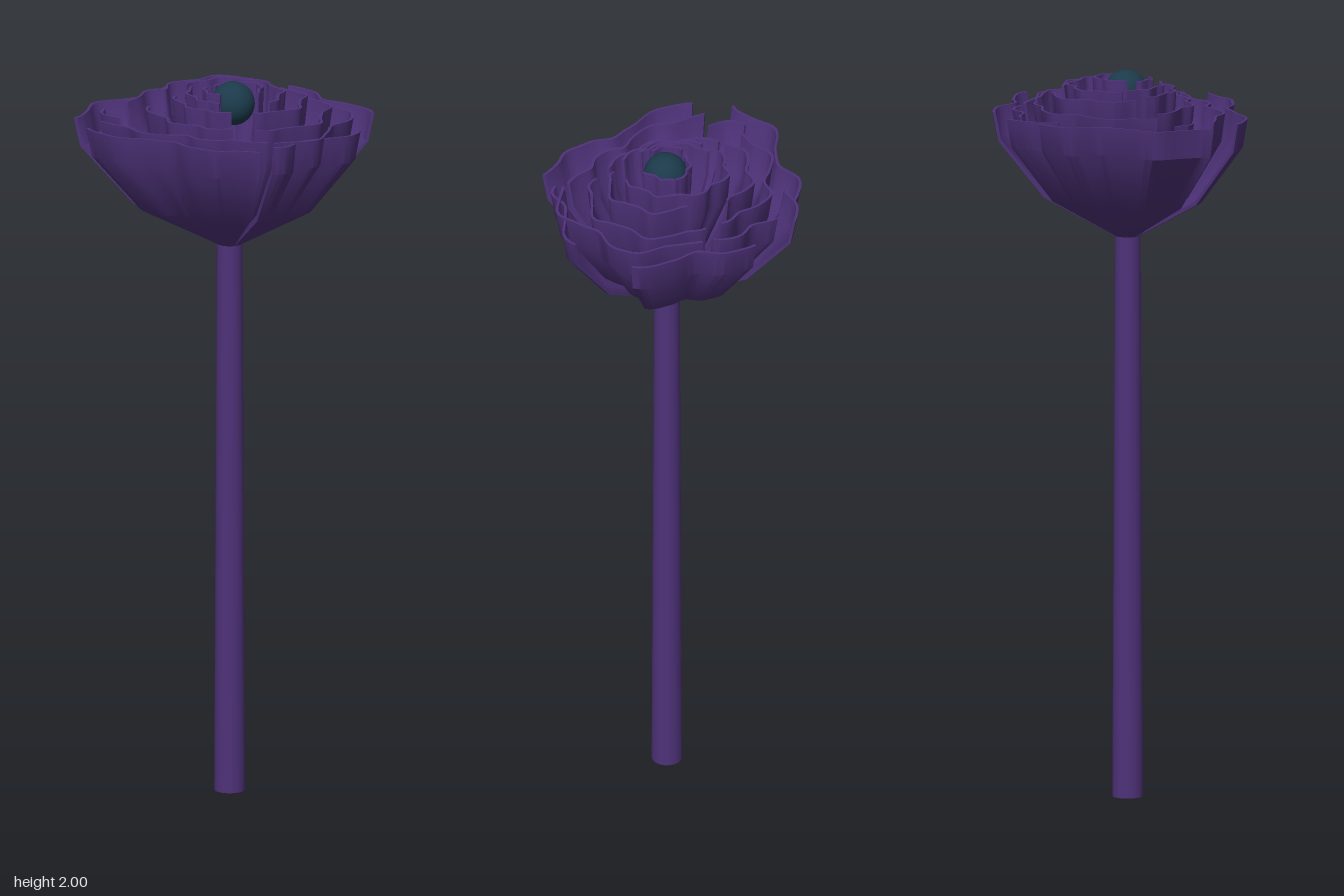
import * as THREE from 'three';
import { toCreasedNormals } from 'three/addons/utils/BufferGeometryUtils.js';

const CX = -0.018, CZ = 0.015, BASE = 1.545;
const purple = new THREE.MeshStandardMaterial({ color: 0x4e3279, side: THREE.DoubleSide });
const teal = new THREE.MeshStandardMaterial({ color: 0x1b3a4a });

// Thick petal lofted from the flower base to a ruffled rim.
// Angles in degrees, clockwise from above; rim radius at the start, middle and end;
// then the angle of one dip, the angle between dips and the depth of the ruffle.
function petalGeometry(top, [start, end, r0, r1, r2, dip = 17, period = 40, depth = 0.06]) {
  const steps = Math.ceil((end - start) / 3);
  const pos = [], index = [];
  for (let i = 0; i <= steps; i++) {
    const t = i / steps, deg = start + (end - start) * t;
    const a = THREE.MathUtils.degToRad(deg);
    const smooth = r0 * (1 - t) * (1 - 2 * t) + r1 * 4 * t * (1 - t) + r2 * t * (2 * t - 1);
    const ruffle = -depth * Math.cos(2 * Math.PI * (deg - dip) / period) + 0.012 * Math.sin(20 * a);
    const r = smooth * (1 + ruffle * Math.sqrt(Math.max(0, Math.sin(Math.PI * t))));
    // closed cross-section: outer side upwards, then inner side downwards
    const section = [
      [0.035, BASE], [r * 0.62, top - 0.24], [r * 0.96, top - 0.08], [r, top],
      [r - 0.008, top], [r * 0.96 - 0.008, top - 0.077], [r * 0.62 - 0.006, top - 0.232], [0.025, BASE + 0.008],
    ];
    for (const [d, y] of section) pos.push(CX + Math.cos(a) * d, y, CZ + Math.sin(a) * d);
  }
  const quad = (a, b, c, d) => index.push(a, b, c, a, c, d);
  for (let i = 0; i < steps; i++) {
    for (let j = 0; j < 8; j++) {
      const k = (j + 1) % 8;
      quad(i * 8 + j, i * 8 + k, i * 8 + 8 + k, i * 8 + 8 + j);
    }
  }
  // end caps
  const e = steps * 8;
  for (let k = 0; k < 3; k++) {
    quad(7 - k, 6 - k, k + 1, k);
    quad(e + k, e + k + 1, e + 6 - k, e + 7 - k);
  }
  const geo = new THREE.BufferGeometry();
  geo.setAttribute('position', new THREE.Float32BufferAttribute(pos, 3));
  geo.setIndex(index);
  return toCreasedNormals(geo, 0.5);
}

// Petal rings from the outside in
const rings = [
  { name: 'outerPetal', top: 1.895, petals: [
    [234, 310, 0.424, 0.355, 0.357, 277, 45, 0.08], [-12, 43, 0.372, 0.345, 0.398, 16, 40, 0.05],
    [71, 119, 0.376, 0.32, 0.307, 97], [128, 219, 0.343, 0.295, 0.4, 181, 60, 0.075],
  ] },
  { name: 'secondPetal', top: 1.9, petals: [
    [303, 325, 0.328, 0.35, 0.39], [327, 363, 0.342, 0.315, 0.288], [9, 117, 0.29, 0.32, 0.287, 22, 50, 0.08],
    [120, 226, 0.272, 0.23, 0.355], [231, 246, 0.303, 0.33, 0.357],
  ] },
  { name: 'thirdPetal', top: 1.915, petals: [
    [252, 353, 0.304, 0.285, 0.255], [4, 122, 0.255, 0.265, 0.194], [139, 247, 0.175, 0.18, 0.234],
  ] },
  { name: 'fourthPetal', top: 1.95, petals: [
    [261, 340, 0.207, 0.235, 0.222], [11, 115, 0.186, 0.205, 0.149], [140, 247, 0.133, 0.132, 0.158],
  ] },
  { name: 'fifthPetal', top: 1.965, petals: [
    [273, 385, 0.16, 0.168, 0.145], [13, 87, 0.152, 0.145, 0.135], [159, 269, 0.098, 0.105, 0.135],
  ] },
  { name: 'innerPetal', top: 1.98, petals: [
    [268, 374, 0.055, 0.07, 0.1], [15, 78, 0.1, 0.088, 0.087], [166, 247, 0.064, 0.072, 0.07],
  ] },
];

export function createModel() {
  const model = new THREE.Group();
  model.name = 'flower';

  // Tapered stem
  const stem = new THREE.Mesh(new THREE.CylinderGeometry(0.035, 0.042, BASE + 0.01, 20), purple);
  stem.name = 'stem';
  stem.position.set(CX, (BASE + 0.01) / 2, CZ);
  model.add(stem);

  // Blossom
  const blossom = new THREE.Group();
  blossom.name = 'blossom';
  for (const { name, top, petals } of rings) {
    petals.forEach((shape, i) => {
      const petal = new THREE.Mesh(petalGeometry(top, shape), purple);
      petal.name = name + (i + 1);
      blossom.add(petal);
    });
  }

  // Round centre
  const centre = new THREE.Mesh(new THREE.SphereGeometry(0.06, 32, 20), teal);
  centre.name = 'flowerCentre';
  centre.position.set(-0.013, 1.94, 0.022);
  blossom.add(centre);
  model.add(blossom);
  return model;
}
